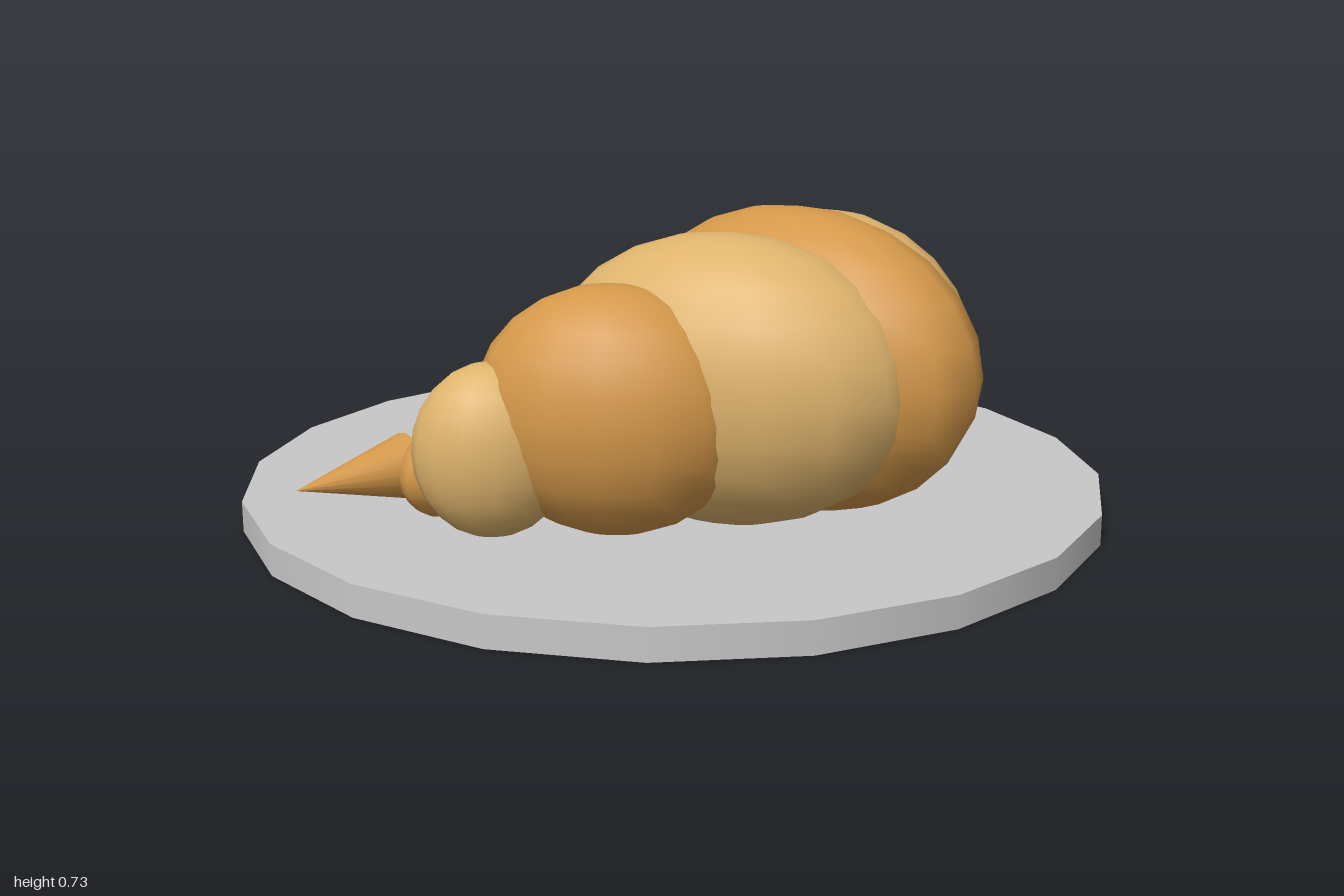
import * as THREE from 'three';

export function createModel() {
  const group = new THREE.Group();
  const mat = (name, color) => {
    const m = new THREE.MeshStandardMaterial({ color });
    m.name = name;
    return m;
  };
  const golden = mat('golden crust', 0xd4984a);
  const pale = mat('pale crust', 0xdeb36c);
  const ceramic = mat('plate grey', 0xc8c8c8);

  const add = (name, geometry, material, [x, y, z]) => {
    const mesh = new THREE.Mesh(geometry, material);
    mesh.name = name;
    mesh.position.set(x, y, z);
    group.add(mesh);
    return mesh;
  };

  // Round plate
  add('plate', new THREE.CylinderGeometry(1, 1, 0.07, 20), ceramic, [0, 0.035, 0]);

  // Overlapping dough segments, fanned along the crescent
  const ball = new THREE.SphereGeometry(1, 16, 12);
  const segment = (name, material, pos, radii, turn) => {
    const mesh = add(name, ball, material, pos);
    mesh.scale.set(...radii);
    mesh.rotation.y = turn;
  };
  segment('centreSegment', golden, [0, 0.39, 0.345], [0.24, 0.34, 0.455], 0);
  const segments = [
    ['innerSegment', pale, [0.2, 0.375, 0.305], [0.245, 0.318, 0.42], 0.3],
    ['middleSegment', golden, [0.42, 0.33, 0.175], [0.2, 0.27, 0.3], 0.55],
    ['outerSegment', pale, [0.6, 0.25, -0.005], [0.125, 0.19, 0.17], 0.8],
    ['endSegment', golden, [0.565, 0.175, -0.165], [0.147, 0.108, 0.077], 0.1],
  ];
  for (const side of [1, -1]) {
    const label = side > 0 ? 'left' : 'right';
    for (const [name, material, [x, y, z], radii, turn] of segments) {
      segment(`${label} ${name}`, material, [side * x, y, z], radii, -side * turn);
    }
    // Pointed tip; both point towards -x
    const tip = add(`${label} tip`, new THREE.ConeGeometry(0.076, 0.28, 16), golden,
      [side > 0 ? 0.42 : -0.695, 0.145, side > 0 ? -0.297 : -0.343]);
    tip.rotation.set(0, side * 0.165, Math.PI / 2);
  }
  return group;
}
